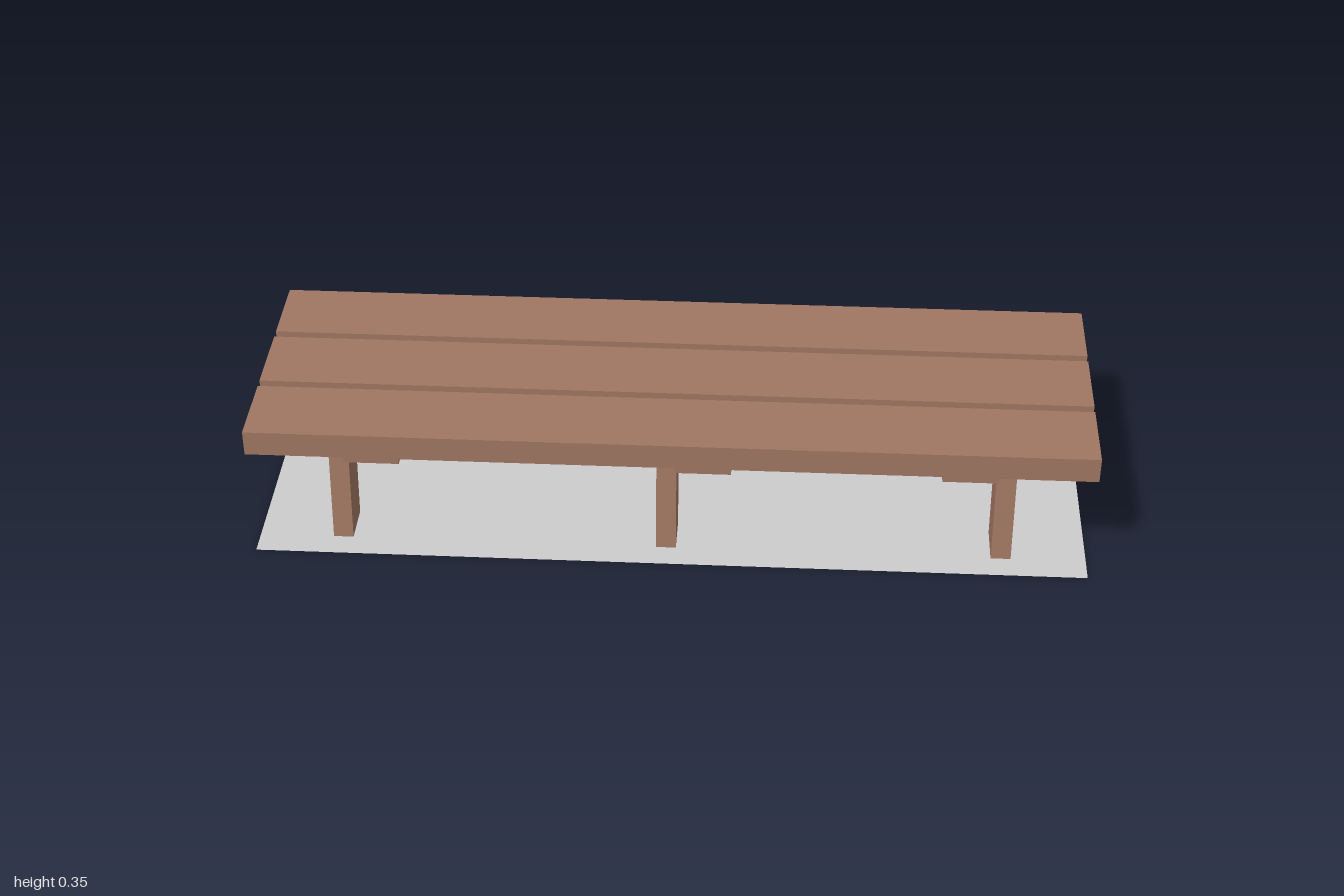
import * as THREE from 'three';

export function createModel() {
  const model = new THREE.Group();
  const wood = new THREE.MeshStandardMaterial({ color: 0xa07662 });
  wood.name = 'brown wood';
  const grey = new THREE.MeshStandardMaterial({ color: 0xcccccc, side: THREE.DoubleSide });
  grey.name = 'grey ground sheet';

  const TOP = 0.349, UNDER = 0.286;

  const add = (name, geometry, material, x, y, z) => {
    const mesh = new THREE.Mesh(geometry, material);
    mesh.name = name;
    mesh.position.set(x, y, z);
    model.add(mesh);
    return mesh;
  };

  // Three long planks with narrow gaps between them
  const plank = new THREE.BoxGeometry(2, TOP - UNDER, 0.193);
  for (const z of [-0.216, 0, 0.216]) add('seatPlank', plank, wood, 0, (TOP + UNDER) / 2, z);

  // Leg sheared so it splays outwards while its ends stay level
  const legWidth = 0.048;
  const makeLeg = (side) => {
    const leg = new THREE.BoxGeometry(legWidth, UNDER, 0.102);
    leg.translate(0, UNDER / 2, 0);
    const p = leg.attributes.position;
    for (let i = 0; i < p.count; i++) {
      p.setZ(i, p.getZ(i) + side * (0.197 - 0.034 * p.getY(i) / UNDER));
    }
    leg.computeVertexNormals();
    return leg;
  };
  const legs = [makeLeg(1), makeLeg(-1)];

  // Three trestles: a pair of legs with a flat cross beam beside them
  const beamWidth = 0.132, beamHeight = 0.034;
  const beam = new THREE.BoxGeometry(beamWidth, beamHeight, 0.568);
  for (const [x, beamSide] of [[-0.797, 1], [-0.011, 1], [0.796, -1]]) {
    for (const leg of legs) add('leg', leg, wood, x, 0, 0.001);
    add('crossBeam', beam, wood, x + beamSide * (legWidth + beamWidth) / 2, UNDER - beamHeight / 2, 0.001);
  }

  // Flat sheet under the bench, just above the soles of the legs
  const sheet = new THREE.PlaneGeometry(2, 0.625);
  sheet.rotateX(-Math.PI / 2);
  add('groundSheet', sheet, grey, 0, 0.001, 0);

  return model;
}
